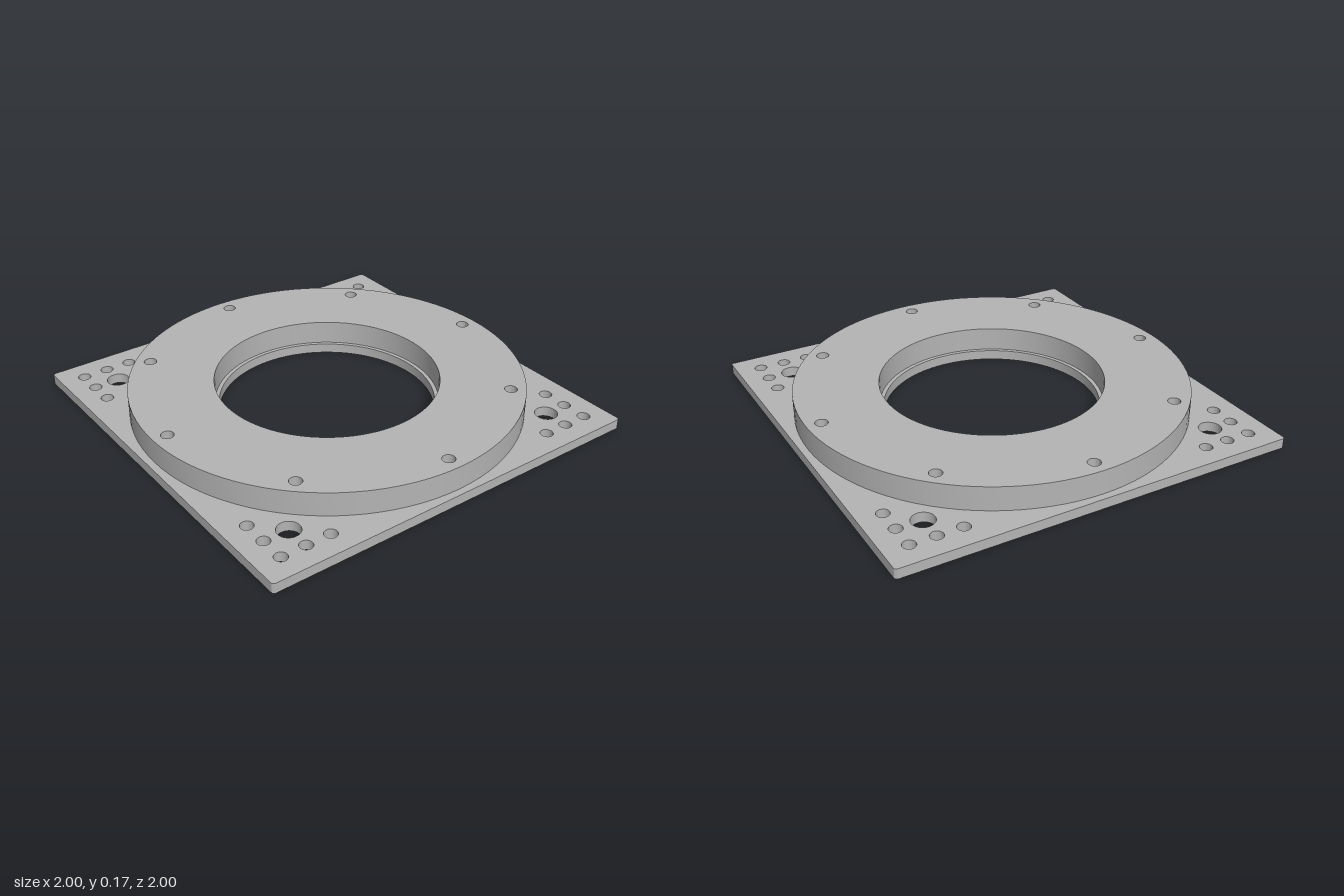
import * as THREE from 'three';
import { toCreasedNormals } from 'three/addons/utils/BufferGeometryUtils.js';

const PLATE_TOP = 0.05, RING_TOP = 0.17;
const SMALL = 0.031, BIG = 0.055;

function addHole(shape, x, y, r) {
  const hole = new THREE.Path();
  hole.absarc(x, y, r, 0, Math.PI * 2, true);
  shape.holes.push(hole);
}

// Eight bolt holes that pass through both ring and plate
function addBoltCircle(shape) {
  for (let i = 0; i < 8; i++) {
    const a = (i * Math.PI) / 4;
    addHole(shape, 0.89 * Math.cos(a), 0.89 * Math.sin(a), SMALL);
  }
}

// Extrude a plan outline upwards from y0 to y1
function slab(name, shape, y0, y1, curveSegments, material) {
  let geo = new THREE.ExtrudeGeometry(shape, { depth: y1 - y0, bevelEnabled: false, curveSegments });
  geo.rotateX(-Math.PI / 2);
  geo.translate(0, y0, 0);
  geo = toCreasedNormals(geo, 0.7);
  const mesh = new THREE.Mesh(geo, material);
  mesh.name = name;
  return mesh;
}

export function createModel() {
  const group = new THREE.Group();
  group.name = 'mountingFlange';
  const metal = new THREE.MeshStandardMaterial({ color: 0xb4b4b4 });
  metal.name = 'grey metal';

  // Square base plate with slightly rounded corners
  const r = 0.015, c = 1 - r;
  const plate = new THREE.Shape();
  plate.absarc(c, c, r, 0, Math.PI / 2);
  plate.absarc(-c, c, r, Math.PI / 2, Math.PI);
  plate.absarc(-c, -c, r, Math.PI, Math.PI * 1.5);
  plate.absarc(c, -c, r, Math.PI * 1.5, Math.PI * 2);
  plate.closePath();
  addHole(plate, 0, 0, 0.53);
  addBoltCircle(plate);

  // Corner hole clusters: one large hole and five small ones
  const small = [[0.88, 0.88], [0.755, 0.88], [0.63, 0.88], [0.88, 0.755], [0.88, 0.63]];
  for (const sx of [-1, 1]) for (const sy of [-1, 1]) {
    addHole(plate, sx * 0.755, sy * 0.755, BIG);
    for (const [x, y] of small) addHole(plate, sx * x, sy * y, SMALL);
  }
  group.add(slab('basePlate', plate, 0, PLATE_TOP, 48, metal));

  // Raised ring; its wider bore leaves a narrow lip on the plate
  const ring = new THREE.Shape();
  ring.absarc(0, 0, 0.965, 0, Math.PI * 2);
  addHole(ring, 0, 0, 0.55);
  addBoltCircle(ring);
  group.add(slab('raisedRing', ring, PLATE_TOP, RING_TOP, 48, metal));

  return group;
}
